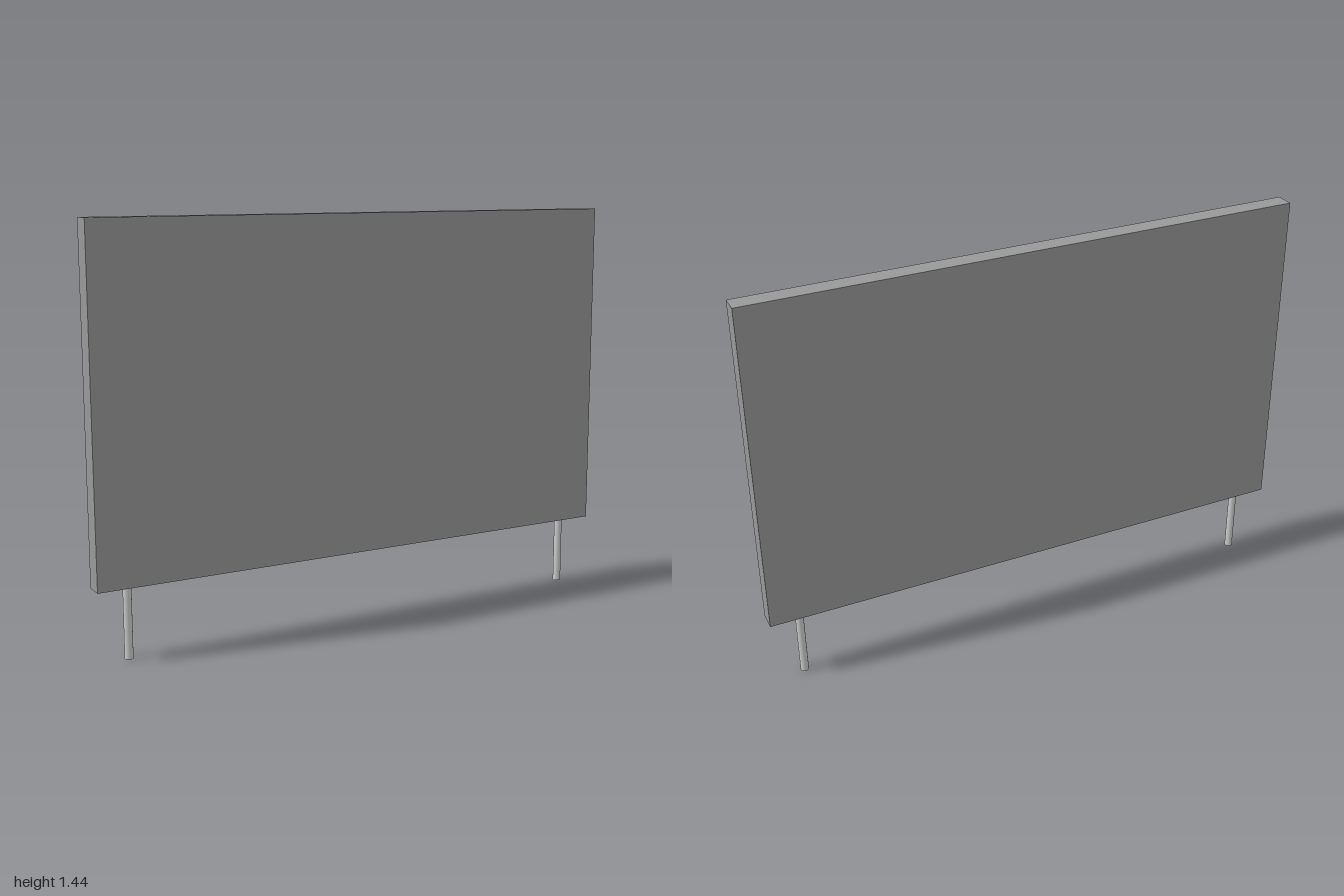
import * as THREE from 'three';

export function createModel() {
  const group = new THREE.Group();
  const panelMaterial = new THREE.MeshStandardMaterial({ color: 0x999999 });
  const legMaterial = new THREE.MeshStandardMaterial({ color: 0xcccccc });

  const bottom = 0.248, top = 1.443;

  // Flat upright board
  const panel = new THREE.Mesh(new THREE.BoxGeometry(2, top - bottom, 0.067), panelMaterial);
  panel.name = 'panel';
  panel.position.y = (bottom + top) / 2;
  group.add(panel);

  // Two round posts under the board
  const legGeometry = new THREE.CylinderGeometry(0.0145, 0.0145, bottom, 24);
  for (const side of [-1, 1]) {
    const leg = new THREE.Mesh(legGeometry, legMaterial);
    leg.name = side > 0 ? 'leftLeg' : 'rightLeg';
    leg.position.set(side * 0.888, bottom / 2, 0);
    group.add(leg);
  }

  return group;
}
